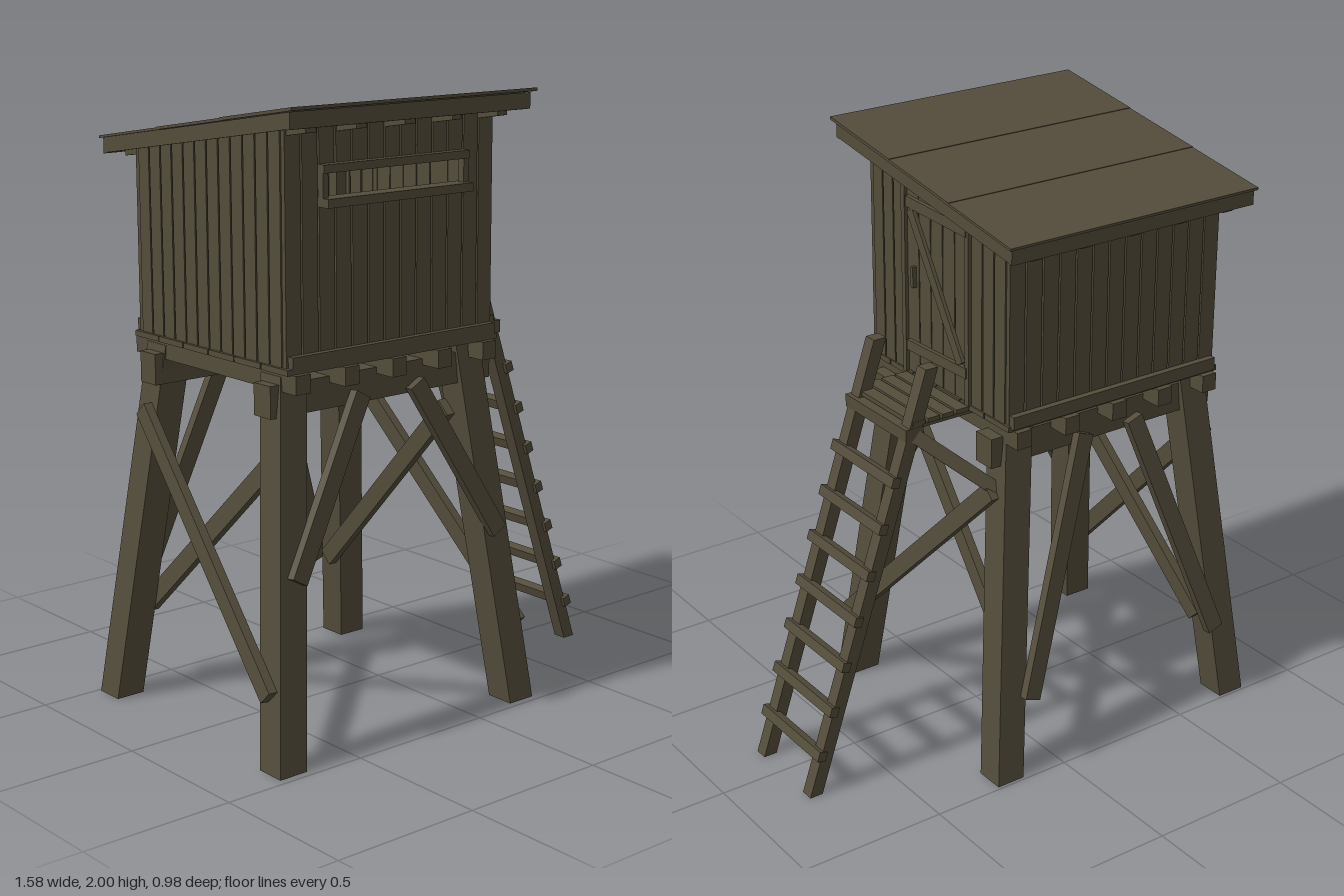
import * as THREE from 'three';

const wood = new THREE.MeshStandardMaterial({ color: 0x544d3b });
wood.name = 'weathered wood';

const CX = -0.265;                            // middle of the cabin in x
const mirrorX = (x) => 2 * CX - x;
const roofY = (z, drop = 0) => 1.917 - drop + 0.16 * z;   // sloping roof line

export function createModel() {
  const model = new THREE.Group();
  model.name = 'raisedHide';
  let group = model;

  const section = (name) => {
    group = new THREE.Group();
    group.name = name;
    model.add(group);
  };
  const add = (name, geo) => {
    const mesh = new THREE.Mesh(geo, wood);
    mesh.name = name;
    group.add(mesh);
    return mesh;
  };
  // Box given by its limits
  const box = (name, x0, x1, y0, y1, z0, z1) => {
    const geo = new THREE.BoxGeometry(x1 - x0, y1 - y0, z1 - z0);
    geo.translate((x0 + x1) / 2, (y0 + y1) / 2, (z0 + z1) / 2);
    return add(name, geo);
  };
  // Box whose top (and, if asked, bottom) follows the roof slope
  const sloped = (name, x0, x1, z0, z1, topDrop, bottomY, bottomDrop) => {
    const geo = new THREE.BoxGeometry(x1 - x0, 2, z1 - z0);
    geo.translate((x0 + x1) / 2, 0, (z0 + z1) / 2);
    const p = geo.attributes.position;
    for (let i = 0; i < p.count; i++) {
      const z = p.getZ(i);
      if (p.getY(i) > 0) p.setY(i, roofY(z, topDrop));
      else p.setY(i, bottomDrop === undefined ? bottomY : roofY(z, bottomDrop));
    }
    geo.computeVertexNormals();
    return add(name, geo);
  };
  // Leaning post with level ends
  const post = (name, a, b, w, d) => {
    const geo = new THREE.BoxGeometry(w, 1, d);
    const p = geo.attributes.position;
    for (let i = 0; i < p.count; i++) {
      const t = p.getY(i) + 0.5;
      p.setXYZ(i, p.getX(i) + a[0] + (b[0] - a[0]) * t, a[1] + (b[1] - a[1]) * t,
        p.getZ(i) + a[2] + (b[2] - a[2]) * t);
    }
    geo.computeVertexNormals();
    return add(name, geo);
  };
  // Plank between two points, its flat side facing the normal
  const plank = (name, a, b, w, t, normal) => {
    const A = new THREE.Vector3(...a), B = new THREE.Vector3(...b);
    const y = B.clone().sub(A), len = y.length();
    y.normalize();
    const x = y.clone().cross(new THREE.Vector3(...normal)).normalize();
    const z = x.clone().cross(y);
    const geo = new THREE.BoxGeometry(w, len, t);
    geo.applyMatrix4(new THREE.Matrix4().makeBasis(x, y, z).setPosition(A.add(B).multiplyScalar(0.5)));
    return add(name, geo);
  };

  // Legs and braces
  section('legsAndBraces');
  for (const m of [(x) => x, mirrorX]) {
    post('frontLeg', [m(0.21), 0, 0.425], [m(0.085), 1.19, 0.285], 0.1, 0.1);
    post('backLeg', [m(0.21), 0, -0.44], [m(0.085), 1.19, -0.3], 0.1, 0.1);
    plank('frontBrace', [m(0.145), 0.58, 0.418], [m(-0.155), 1.1, 0.355], 0.06, 0.03, [0, 0, 1]);
    plank('backBrace', [m(0.125), 0.28, -0.475], [m(-0.165), 1.1, -0.355], 0.06, 0.03, [0, 0, 1]);
    plank('outerSideBrace', [m(0.25), 0.24, 0.41], [m(0.172), 0.98, -0.325], 0.06, 0.03, [1, 0, 0]);
    plank('innerSideBrace', [m(0.113), 0.3, -0.4], [m(0.042), 0.98, 0.285], 0.06, 0.03, [1, 0, 0]);
  }

  // Beams, joists and floor
  section('platform');
  for (const z of [0.29, -0.3]) box('beam', -0.7, 0.185, 1.065, 1.165, z - 0.04, z + 0.04);
  for (let i = 0; i < 5; i++) {
    const x = -0.635 + i * 0.187;
    box('joist', x - 0.028, x + 0.028, 1.145, 1.203, -0.415, 0.405);
  }
  for (let i = 0; i < 6; i++) {
    const z = -0.395 + i * 0.131;
    box('floorBoard', -0.68, 0.16, 1.202, 1.22, z, z + 0.127);
  }

  // Cabin walls made of upright boards
  section('walls');
  const gap = 0.003;
  for (let i = 0; i < 13; i++) {
    const w = 0.825 / 13, x0 = -0.67 + i * w + gap, x1 = x0 + w - 2 * gap;
    if (i >= 2 && i <= 10) {
      box('frontBoardLower', x0, x1, 1.212, 1.7, 0.35, 0.366);
      sloped('frontBoardUpper', x0, x1, 0.35, 0.366, 0.012, 1.785);
    } else sloped('frontBoard', x0, x1, 0.35, 0.366, 0.012, 1.212);
    sloped('backBoard', x0, x1, -0.386, -0.37, 0.012, 1.212);
  }
  const sideBoards = (x0, x1, from, to, n) => {
    const w = (to - from) / n;
    for (let i = 0; i < n; i++)
      sloped('sideBoard', x0, x1, from + i * w + gap, from + (i + 1) * w - gap, 0.012, 1.212);
  };
  sideBoards(-0.67, -0.654, -0.37, 0.35, 12);
  sideBoards(0.139, 0.155, 0.175, 0.35, 3);
  sideBoards(0.139, 0.155, -0.37, -0.19, 3);
  sloped('doorHeader', 0.139, 0.155, -0.19, 0.175, 0.012, 0, 0.085);
  for (const x of [-0.632, 0.117]) for (const z of [0.328, -0.348])
    sloped('cornerPost', x - 0.02, x + 0.02, z - 0.02, z + 0.02, 0.012, 1.212);
  box('frontSkirt', -0.66, 0.15, 1.212, 1.255, 0.366, 0.388);
  box('backSkirt', -0.66, 0.15, 1.212, 1.255, -0.408, -0.386);

  // Lookout slot
  section('lookoutSlot');
  box('slotTopBoard', -0.545, 0.03, 1.785, 1.81, 0.366, 0.396);
  box('slotLedge', -0.545, 0.03, 1.685, 1.712, 0.35, 0.414);
  for (const x of [-0.545, 0.01]) box('slotEnd', x, x + 0.02, 1.712, 1.785, 0.366, 0.39);

  // Door
  section('door');
  for (let i = 0; i < 5; i++) {
    const w = 0.325 / 5, z = -0.17 + i * w;
    sloped('doorBoard', 0.141, 0.155, z + 0.002, z + w - 0.002, 0.09, 1.222);
  }
  for (const z of [0.155, -0.19]) sloped('doorJamb', 0.139, 0.165, z, z + 0.02, 0.07, 1.212);
  sloped('doorLintel', 0.15, 0.168, -0.19, 0.175, 0.07, 0, 0.095);
  plank('doorUpperBatten', [0.162, 1.8, 0.145], [0.162, 1.79, -0.18], 0.035, 0.014, [1, 0, 0]);
  plank('doorLowerBatten', [0.162, 1.315, 0.145], [0.162, 1.325, -0.18], 0.035, 0.014, [1, 0, 0]);
  plank('doorDiagonal', [0.161, 1.775, 0.125], [0.161, 1.345, -0.145], 0.035, 0.012, [1, 0, 0]);
  box('doorHandle', 0.155, 0.17, 1.52, 1.59, 0.105, 0.117);

  // Roof: rafters, edge boards and three overlapping sheets
  section('roof');
  for (let i = 0; i < 5; i++) {
    const x = -0.64 + i * 0.187;
    sloped('rafter', x - 0.02, x + 0.02, -0.455, 0.455, 0.012, 0, 0.075);
  }
  sloped('frontFascia', -0.73, 0.21, 0.455, 0.472, 0.012, 0, 0.062);
  sloped('backFascia', -0.73, 0.21, -0.472, -0.455, 0.012, 0, 0.062);
  for (const x of [-0.73, 0.193]) sloped('bargeBoard', x, x + 0.017, -0.455, 0.455, 0.012, 0, 0.06);
  sloped('roofSheetBack', -0.74, 0.22, -0.48, -0.15, 0.004, 0, 0.012);
  sloped('roofSheetMiddle', -0.74, 0.22, -0.165, 0.165, 0.002, 0, 0.011);
  sloped('roofSheetFront', -0.74, 0.22, 0.155, 0.492, 0, 0, 0.01);

  // Landing by the door
  section('landing');
  box('landingCrossbar', 0.335, 0.4, 1.155, 1.197, -0.19, 0.155);
  for (const z of [0.13, -0.185]) box('landingRail', 0.13, 0.37, 1.19, 1.203, z, z + 0.025);
  for (let i = 0; i < 4; i++) box('landingSlat', 0.165 + i * 0.054, 0.21 + i * 0.054, 1.202, 1.217, -0.19, 0.155);
  plank('landingStrut', [0.13, 0.96, 0.28], [0.36, 1.165, 0.135], 0.045, 0.03, [0, 0, 1]);
  plank('landingStrut', [0.13, 0.96, -0.33], [0.36, 1.165, -0.175], 0.045, 0.03, [0, 0, 1]);

  // Ladder
  section('ladder');
  for (const z of [0.124, -0.166]) post('ladderRail', [0.765, 0, z], [0.3, 1.38, z], 0.046, 0.046);
  for (let i = 0; i < 7; i++) {
    const y = 0.142 + i * 0.148, x = 0.765 - 0.337 * y + 0.023;
    plank('rung', [x, y, -0.195], [x, y, 0.16], 0.034, 0.03, [1, 0.337, 0]);
  }
  return model;
}
